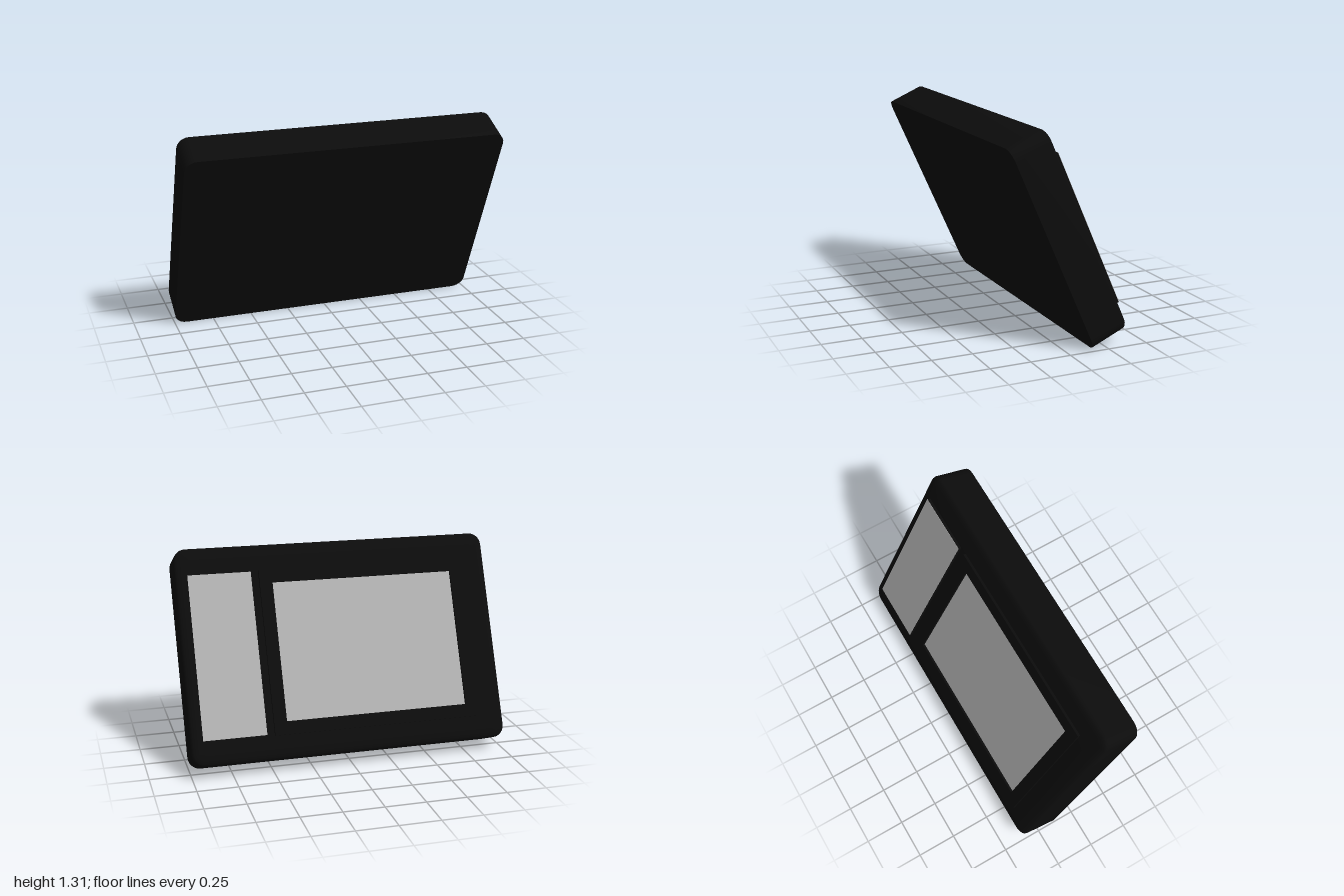
import * as THREE from 'three';
import { toCreasedNormals } from 'three/addons/utils/BufferGeometryUtils.js';

const HEIGHT = 1.33;

// Rounded rectangle outline, counter-clockwise, always the same point count
function outline(inset, radius = 0.075, steps = 6) {
  const r = Math.max(radius - inset, 0.004);
  const x = 1 - inset - r, y = HEIGHT / 2 - inset - r;
  const points = [];
  [[x, y], [-x, y], [-x, -y], [x, -y]].forEach(([cx, cy], q) => {
    for (let i = 0; i <= steps; i++) {
      const a = (q + i / steps) * Math.PI / 2;
      points.push([cx + r * Math.cos(a), HEIGHT / 2 + cy + r * Math.sin(a)]);
    }
  });
  return points;
}

// Slab lofted through [inset, depth] rings; depth runs towards -z
function slabGeometry(profile) {
  const pos = [], index = [];
  const n = outline(0).length;
  for (const [inset, depth] of profile) {
    for (const [x, y] of outline(inset)) pos.push(x, y, -depth);
  }
  for (let r = 0; r < profile.length - 1; r++) {
    for (let i = 0; i < n; i++) {
      const a = r * n + i, b = r * n + (i + 1) % n;
      index.push(a, b + n, b, a, a + n, b + n);
    }
  }
  // Flat caps on both faces
  const last = (profile.length - 1) * n, centre = pos.length / 3;
  pos.push(0, HEIGHT / 2, -profile[0][1], 0, HEIGHT / 2, -profile.at(-1)[1]);
  for (let i = 0; i < n; i++) {
    const j = (i + 1) % n;
    index.push(centre, i, j, centre + 1, last + j, last + i);
  }
  const g = new THREE.BufferGeometry();
  g.setAttribute('position', new THREE.Float32BufferAttribute(pos, 3));
  g.setIndex(index);
  return toCreasedNormals(g, 0.6);
}

function rectangle(Type, x0, x1, y0, y1) {
  const s = new Type();
  s.moveTo(x0, y0);
  s.lineTo(x1, y0);
  s.lineTo(x1, y1);
  s.lineTo(x0, y1);
  s.closePath();
  return s;
}

export function createModel() {
  const black = new THREE.MeshStandardMaterial({ color: 0x0c0c0c });
  black.name = 'black casing';
  const grey = new THREE.MeshStandardMaterial({ color: 0xb2b2b2 });
  grey.name = 'grey glass';

  const tablet = new THREE.Group();
  tablet.name = 'tablet';
  const add = (name, geometry, material) => {
    const mesh = new THREE.Mesh(geometry, material);
    mesh.name = name;
    tablet.add(mesh);
    return mesh;
  };
  const block = (name, material, x0, x1, y0, y1, d0, d1) =>
    add(name, new THREE.BoxGeometry(x1 - x0, y1 - y0, d1 - d0), material)
      .position.set((x0 + x1) / 2, (y0 + y1) / 2, -(d0 + d1) / 2);

  // Casing with a softly rounded edge on the screen side
  add('casing', slabGeometry([
    [0, 0], [0, 0.222], [0.004, 0.232], [0.014, 0.24], [0.04, 0.247], [0.1, 0.251],
  ]), black);

  // Screen sunk inside a raised bezel
  block('screen', grey, -0.75, 0.41, 0.225, 1.085, 0.249, 0.2535);
  const frame = rectangle(THREE.Shape, -0.83, 0.49, 0.145, 1.165);
  frame.holes.push(rectangle(THREE.Path, -0.75, 0.41, 0.225, 1.085));
  add('bezel', new THREE.ExtrudeGeometry(frame, { depth: 0.024, bevelEnabled: false }), black)
    .position.z = -0.268;

  // Raised side panel with a grey face
  block('sidePanelBase', black, 0.54, 0.93, 0.153, 1.158, 0.235, 0.271);
  block('sidePanelFace', grey, 0.54, 0.93, 0.153, 1.158, 0.271, 0.273);

  // Lean the whole slab so the screen looks back and up
  tablet.rotation.x = THREE.MathUtils.degToRad(24);
  tablet.position.z = -0.163;

  const model = new THREE.Group();
  model.name = 'model';
  model.add(tablet);
  return model;
}
